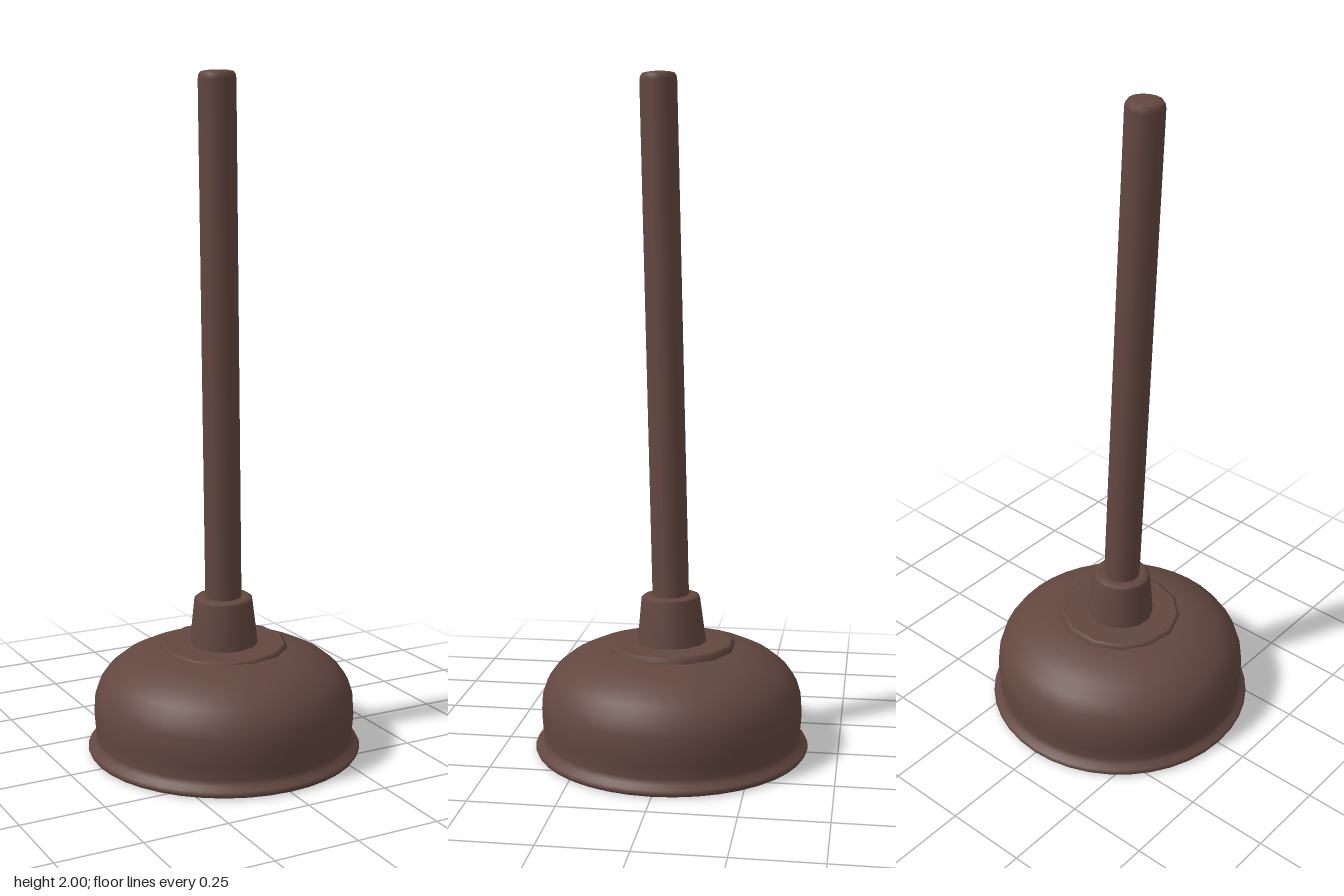
import * as THREE from 'three';

const rubber = new THREE.MeshStandardMaterial({ color: 0x634740 });
rubber.name = 'dark brown';

// Revolves a list of [radius, height] points into a named mesh
function lathe(name, points, sides) {
  const profile = points.map(([r, y]) => new THREE.Vector2(r, y));
  const mesh = new THREE.Mesh(new THREE.LatheGeometry(profile, sides), rubber);
  mesh.name = name;
  return mesh;
}

export function createModel() {
  const model = new THREE.Group();
  model.name = 'plunger';

  // Hollow cup: inner wall from the crown down, round the flared lip, then up the outside
  model.add(lathe('cup', [
    [0, 0.3], [0.1, 0.297], [0.2, 0.282], [0.28, 0.25], [0.33, 0.205], [0.352, 0.15],
    [0.355, 0.1], [0.35, 0.05], [0.352, 0.02], [0.365, 0.004], [0.385, 0],
    [0.405, 0.003], [0.41, 0.012], [0.405, 0.02], [0.39, 0.03], [0.384, 0.045],
    [0.388, 0.08], [0.391, 0.12], [0.388, 0.165], [0.375, 0.205], [0.35, 0.24],
    [0.31, 0.272], [0.26, 0.296], [0.2, 0.312], [0.1, 0.322], [0, 0.324],
  ], 40));

  // Collar plate, socket and handle share one slight lean
  const leaning = new THREE.Group();
  leaning.name = 'leaningHandle';
  leaning.position.set(0, 0.32, 0);
  leaning.quaternion.setFromUnitVectors(
    new THREE.Vector3(0, 1, 0),
    new THREE.Vector3(-0.028, 1, 0.028).normalize(),
  );
  model.add(leaning);

  leaning.add(lathe('collarPlate', [
    [0, -0.02], [0.19, -0.02], [0.19, -0.02], [0.19, 0], [0.18, 0.006], [0.18, 0.006], [0, 0.01],
  ], 13));

  leaning.add(lathe('socket', [
    [0.104, 0], [0.102, 0.02], [0.088, 0.142], [0.082, 0.148], [0.07, 0.15], [0.05, 0.15],
  ], 14));

  leaning.add(lathe('handle', [
    [0.055, 0.1], [0.055, 1.655], [0.053, 1.668], [0.047, 1.676], [0.03, 1.679], [0, 1.68],
  ], 14));

  return model;
}
